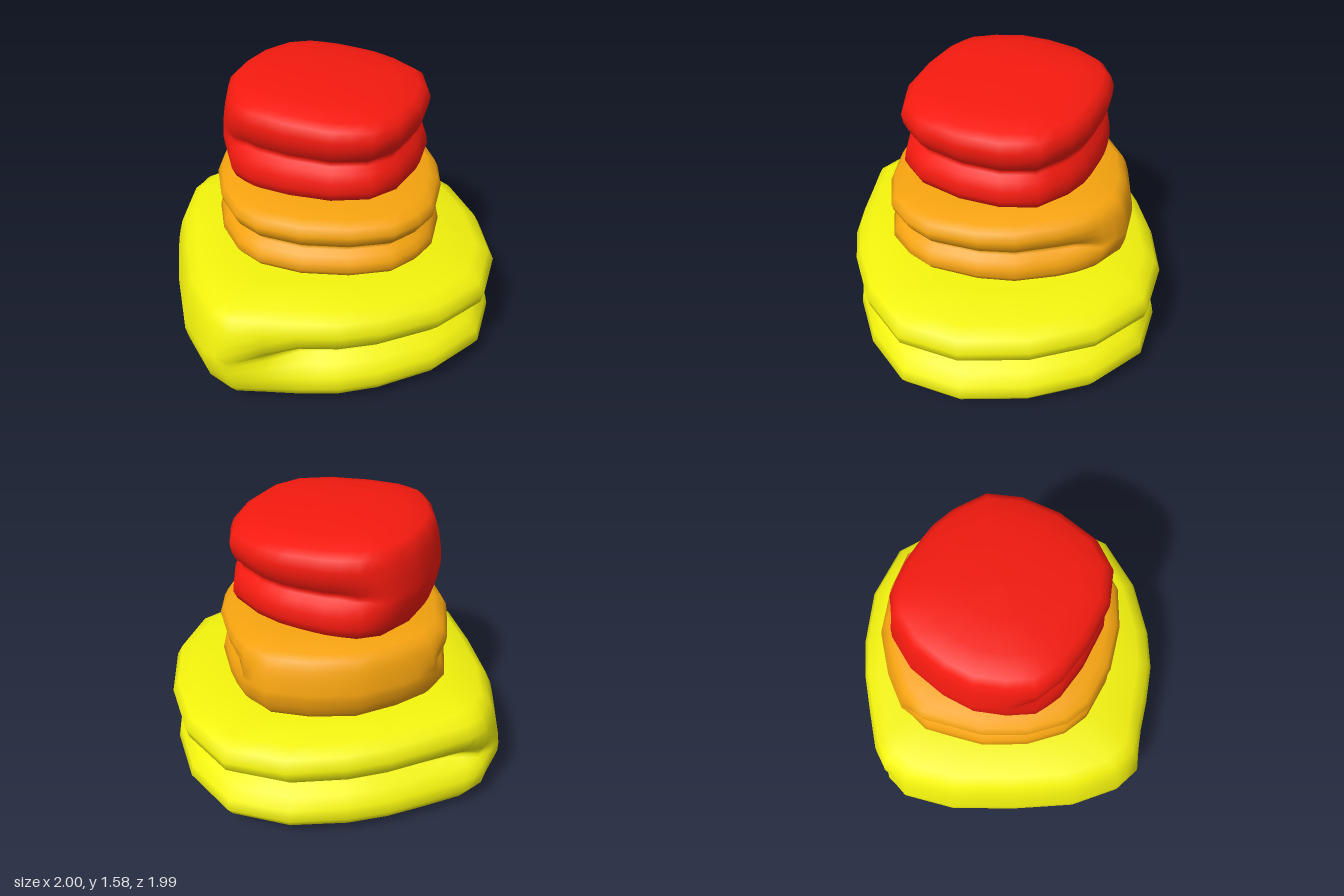
import * as THREE from 'three';

// Side profile from bottom to top: [height 0..1, reach on open edges, reach on folded edge]
const PROFILE = [
  [0, 0, 0], [0.005, 0.35, 0.35], [0.025, 0.68, 0.66], [0.075, 0.89, 0.86], [0.13, 0.965, 0.92],
  [0.22, 1, 0.965], [0.32, 0.985, 0.985], [0.41, 0.93, 1], [0.465, 0.855, 1], [0.495, 0.84, 1],
  [0.525, 0.855, 0.995], [0.58, 0.93, 0.99], [0.67, 0.985, 0.975], [0.77, 1, 0.955],
  [0.87, 0.965, 0.92], [0.925, 0.89, 0.86], [0.975, 0.68, 0.66], [0.995, 0.35, 0.35], [1, 0, 0],
];

// A folded towel: an outline lofted along the profile, grooved except at the fold
function towel({ name, color, outline, centre, midY, half, fold, fade, depth, taper }) {
  const [cx, cz] = centre;
  const dir = new THREE.Vector2(...fold).normalize();
  const rim = [];
  outline.forEach(([x, z], i) => {
    const [nx, nz] = outline[(i + 1) % outline.length];
    rim.push([x, z], [(x + nx) / 2, (z + nz) / 2]);
  });
  const n = rim.length;
  const pos = [], index = [];
  PROFILE.forEach(([t, open, closed], i) => {
    const openReach = 1 - (1 - open) * (i > 6 && i < 12 ? depth / 0.16 : 1);
    rim.forEach(([x, z], j) => {
      const dx = x - cx, dz = z - cz;
      const d = dx * dir.x + dz * dir.y;
      const s = THREE.MathUtils.lerp(openReach, closed, THREE.MathUtils.smoothstep(d, ...fade));
      // the stack is thickest towards the fold
      const thick = 1 - taper * (1 - THREE.MathUtils.smoothstep(d * s, -fade[1], fade[1]));
      pos.push(cx + dx * s, midY + (t * 2 - 1) * half * thick, cz + dz * s);
      if (i < PROFILE.length - 1) {
        const a = i * n + j, b = i * n + (j + 1) % n;
        if (i > 0) index.push(a, a + n, b);
        if (i < PROFILE.length - 2) index.push(b, a + n, b + n);
      }
    });
  });
  const geo = new THREE.BufferGeometry();
  geo.setAttribute('position', new THREE.Float32BufferAttribute(pos, 3));
  geo.setIndex(index);
  geo.computeVertexNormals();
  const mesh = new THREE.Mesh(geo, new THREE.MeshStandardMaterial({ color }));
  mesh.name = name;
  return mesh;
}

export function createModel() {
  const group = new THREE.Group();
  group.name = 'towelStack';

  // Large towel, folded edge at the front left of the stack
  group.add(towel({
    name: 'bottomTowel', color: 0xf2f20d, centre: [0, 0], midY: 0.34, half: 0.34,
    fold: [-0.74, 0.67], fade: [0.38, 0.7], depth: 0.16, taper: 0.1,
    outline: [
      [0.21, -1], [0.53, -0.85], [0.78, -0.59], [0.96, -0.27], [1, 0.06], [0.85, 0.36], [0.62, 0.6],
      [0.44, 0.73], [0.24, 0.82], [-0.09, 0.99], [-0.25, 0.95], [-0.48, 0.78], [-0.7, 0.5],
      [-0.9, 0.2], [-1, -0.08], [-0.98, -0.24], [-0.9, -0.34], [-0.58, -0.66], [-0.4, -0.8], [-0.12, -0.95],
    ],
  }));

  // Medium towel, folded edge at the back
  group.add(towel({
    name: 'middleTowel', color: 0xf5a30f, centre: [0, -0.1], midY: 0.855, half: 0.227,
    fold: [-0.47, -0.88], fade: [0.28, 0.5], depth: 0.11, taper: 0.14,
    outline: [
      [0.07, -0.79], [0.23, -0.73], [0.4, -0.56], [0.55, -0.38], [0.63, -0.2], [0.68, 0.06], [0.65, 0.2],
      [0.57, 0.35], [0.38, 0.48], [0.14, 0.57], [-0.1, 0.59], [-0.25, 0.54], [-0.42, 0.4],
      [-0.56, 0.2], [-0.67, -0.12], [-0.66, -0.28], [-0.55, -0.45], [-0.38, -0.63], [-0.15, -0.74],
    ],
  }));

  // Small towel, folded edge on the -x side
  group.add(towel({
    name: 'topTowel', color: 0xf51a0f, centre: [0, -0.05], midY: 1.308, half: 0.292,
    fold: [-1, 0], fade: [0.25, 0.48], depth: 0.11, taper: 0.13,
    outline: [
      [0, -0.56], [0.1, -0.56], [0.24, -0.53], [0.42, -0.44], [0.51, -0.27], [0.545, -0.05], [0.52, 0.19],
      [0.43, 0.34], [0.25, 0.43], [0, 0.46], [-0.2, 0.45], [-0.35, 0.4], [-0.45, 0.29],
      [-0.53, 0.13], [-0.55, -0.05], [-0.53, -0.25], [-0.45, -0.43], [-0.33, -0.51], [-0.15, -0.55],
    ],
  }));

  return group;
}
